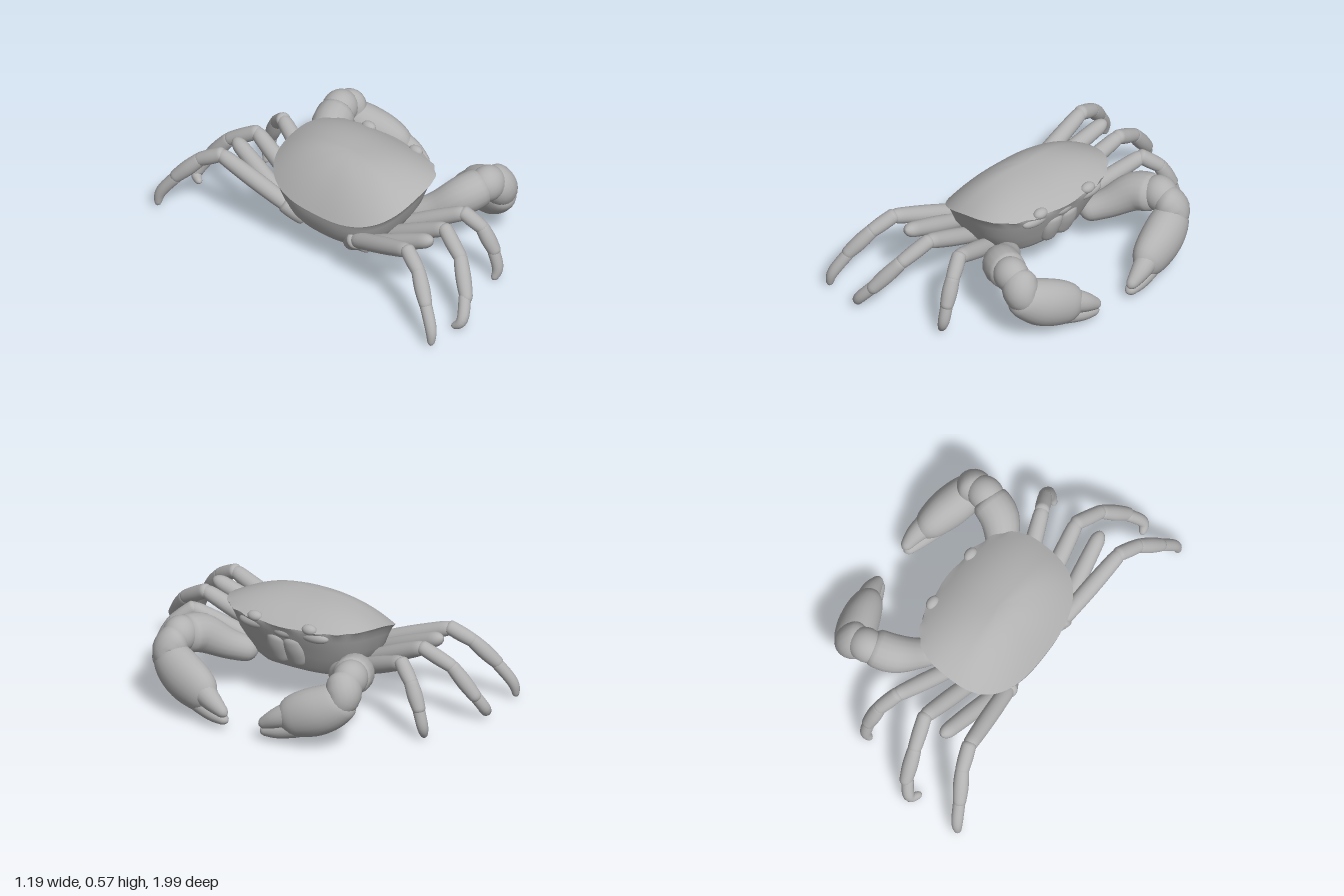
import * as THREE from 'three';

const shellGrey = new THREE.MeshStandardMaterial({ color: 0xb2b2b2, side: THREE.DoubleSide });
shellGrey.name = 'shellGrey';

function mesh(geometry, name) {
  const m = new THREE.Mesh(geometry, shellGrey);
  m.name = name;
  return m;
}

// Skin a list of closed rings, each holding the same number of points
function loft(rings) {
  const n = rings[0].length, pos = [], idx = [];
  rings.forEach(r => r.forEach(p => pos.push(p.x, p.y, p.z)));
  for (let i = 0; i < rings.length - 1; i++) {
    for (let j = 0; j < n; j++) {
      const a = i * n + j, b = i * n + (j + 1) % n;
      idx.push(a, b, a + n, b, b + n, a + n);
    }
  }
  const g = new THREE.BufferGeometry();
  g.setAttribute('position', new THREE.Float32BufferAttribute(pos, 3));
  g.setIndex(idx);
  g.computeVertexNormals();
  return g;
}

// Round-ended limb through points [x, y, z, halfWidth, halfHeight]
function limb(points, name, round = 0.12, steps = 20, sides = 18) {
  const path = new THREE.CatmullRomCurve3(
    points.map(p => new THREE.Vector3(p[0], p[1], p[2])), false, 'catmullrom');
  const size = new THREE.CatmullRomCurve3(
    points.map(p => new THREE.Vector3(p[3], p[4] ?? p[3], 0)), false, 'catmullrom');
  const rings = [];
  for (let i = 0; i <= steps; i++) {
    const u = (1 - Math.cos(Math.PI * i / steps)) / 2;
    const end = Math.min(1, Math.min(u, 1 - u) / round);
    const k = Math.sqrt(Math.max(0, 1 - (1 - end) ** 2));
    const c = path.getPoint(u), s = size.getPoint(u), t = path.getTangent(u);
    const side = new THREE.Vector3(1, 0, 0).addScaledVector(t, -t.x).normalize();
    const up = new THREE.Vector3().crossVectors(t, side);
    rings.push(Array.from({ length: sides }, (_, j) => {
      const a = j / sides * Math.PI * 2;
      return c.clone().addScaledVector(side, Math.cos(a) * s.x * k)
        .addScaledVector(up, Math.sin(a) * s.y * k);
    }));
  }
  return mesh(loft(rings), name);
}

function ball(x, y, z, rx, ry, rz, name) {
  const m = mesh(new THREE.SphereGeometry(1, 24, 16), name);
  m.position.set(x, y, z);
  m.scale.set(rx, ry, rz);
  return m;
}

// Rounded plan outline; height is chosen by a function of x
const rimY = x => 0.49 - 0.65 * (x - 0.08) ** 2;
const bellyY = x => 0.142 + 0.7 * Math.max(0, x + 0.2) ** 2;
function outline(x0, x1, half, yAt, scallop = 0) {
  const n = 112, pow = v => Math.sign(v) * Math.abs(v) ** (2 / 2.7);
  return Array.from({ length: n }, (_, i) => {
    const t = i / n * Math.PI * 2;
    const front = Math.max(0, Math.cos(t));
    const wave = scallop * Math.cos(t * 18) * Math.min(1, front * 1.6);
    const x = (x0 + x1) / 2 + (x1 - x0) / 2 * pow(Math.cos(t)) + wave;
    return new THREE.Vector3(x, yAt(x), half * pow(Math.sin(t)));
  });
}

function body() {
  const g = new THREE.Group();
  g.name = 'body';
  // Domed upper shell, steeper in front than behind, with a scalloped front rim
  const rim = outline(-0.43, 0.195, 0.44, rimY);
  const apex = new THREE.Vector3(-0.13, 0.57, 0);
  const rings = [outline(-0.43, 0.195, 0.44, rimY, 0.006)];
  for (let i = 1; i <= 20; i++) {
    const s = 1 - i / 20;
    rings.push(rim.map(p => {
      const q = apex.clone().lerp(p, s);
      const bulge = 2.5 - 0.5 * THREE.MathUtils.smoothstep(-p.x, 0.15, 0.4);
      q.y = apex.y - (apex.y - p.y) * s ** bulge;
      return q;
    }));
  }
  g.add(mesh(loft(rings), 'upperShell'));
  // Underside tapering to a flat belly: [rear, front, half width, height fraction]
  const levels = [
    [-0.43, 0.195, 0.44, 1], [-0.428, 0.19, 0.42, 0.92], [-0.425, 0.178, 0.4, 0.78],
    [-0.415, 0.155, 0.375, 0.55], [-0.4, 0.125, 0.335, 0.34], [-0.37, 0.1, 0.285, 0.13],
    [-0.335, 0.07, 0.235, 0.03], [-0.28, 0.03, 0.18, 0], [-0.131, -0.13, 0.001, 0],
  ];
  g.add(mesh(loft(levels.map(([a, b, h, f], i) =>
    outline(a, b, h, x => bellyY(x) + (rimY(x) - bellyY(x)) * f, i ? 0 : 0.006))), 'underside'));
  // Face: eyes, brow bumps and paired mouth plates
  for (const s of [1, -1]) {
    g.add(ball(0.17, 0.492, s * 0.165, 0.03, 0.028, 0.042, 'eye'));
    g.add(ball(0.15, 0.45, s * 0.18, 0.034, 0.035, 0.09, 'eyeSocket'));
    g.add(limb([[0.155, 0.42, s * 0.045, 0.025, 0.05], [0.135, 0.34, s * 0.052, 0.032, 0.058],
      [0.085, 0.23, s * 0.045, 0.035, 0.05]], 'mouthPlate', 0.2));
  }
  g.add(ball(0.155, 0.44, 0, 0.033, 0.035, 0.07, 'snout'));
  return g;
}

// Straight leg segment, swollen in the middle and running a little past each joint
function segment(a, b, r0, r1, r2, name) {
  const p = new THREE.Vector3(...a), q = new THREE.Vector3(...b);
  const d = q.clone().sub(p).normalize();
  const mid = p.clone().lerp(q, 0.5);
  p.addScaledVector(d, -r0 * 0.7);
  q.addScaledVector(d, r2 * 0.7);
  return limb([[...p, r0], [...mid, r1], [...q, r2]], name, 0.13);
}

// Joints run hip, knee, wrist, ankle, bend, tip; short legs stop at the knee
function leg(joints, name) {
  const g = new THREE.Group();
  g.name = name;
  const [hip, knee, wrist, ankle, bend, tip] = joints;
  const root = [hip[0] * 0.8 - 0.03, 0.187, 0.18];
  g.add(segment(root, hip, 0.05, 0.053, 0.047, 'hip'));
  g.add(segment(hip, knee, 0.042, 0.046, 0.039, 'upperLeg'));
  if (wrist) {
    g.add(segment(knee, wrist, 0.038, 0.04, 0.035, 'middleLeg'));
    g.add(segment(wrist, ankle, 0.035, 0.041, 0.032, 'lowerLeg'));
    const start = ankle.map((v, i) => v + (wrist[i] - v) * 0.2);
    g.add(limb([[...start, 0.033], [...bend, 0.03], [...tip, 0.016]], 'foot'));
  }
  return g;
}

function claw() {
  const g = new THREE.Group();
  g.name = 'clawArm';
  g.add(limb([[0.02, 0.21, 0.24, 0.06], [0.11, 0.26, 0.36, 0.08], [0.205, 0.335, 0.465, 0.103],
    [0.33, 0.365, 0.51, 0.1]], 'upperArm'));
  g.add(ball(0.335, 0.368, 0.518, 0.1, 0.097, 0.09, 'elbow'));
  g.add(limb([[0.35, 0.39, 0.48, 0.075, 0.065], [0.395, 0.35, 0.515, 0.095, 0.09],
    [0.425, 0.29, 0.525, 0.09, 0.09], [0.45, 0.22, 0.46, 0.06, 0.06]], 'wrist', 0.25));
  g.add(limb([[0.42, 0.31, 0.57, 0.06, 0.07], [0.432, 0.265, 0.51, 0.095, 0.108],
    [0.465, 0.215, 0.42, 0.106, 0.128], [0.497, 0.177, 0.32, 0.095, 0.122],
    [0.53, 0.125, 0.2, 0.062, 0.085]], 'palm', 0.16, 24, 24));
  g.add(limb([[0.5, 0.2, 0.32, 0.07, 0.075], [0.54, 0.145, 0.2, 0.052, 0.055],
    [0.555, 0.088, 0.1, 0.024, 0.024]], 'upperFinger'));
  g.add(limb([[0.49, 0.11, 0.32, 0.07, 0.06], [0.525, 0.073, 0.2, 0.052, 0.046],
    [0.545, 0.05, 0.1, 0.024, 0.022]], 'lowerFinger'));
  return g;
}

export function createModel() {
  const crab = new THREE.Group();
  crab.name = 'crab';
  crab.add(body());
  for (const s of [1, -1]) {
    const side = new THREE.Group();
    side.name = s > 0 ? 'nearLimbs' : 'farLimbs';
    side.scale.z = s;
    side.add(claw());
    side.add(leg([[-0.37, 0.24, 0.24], [-0.425, 0.39, 0.655], [-0.463, 0.33, 0.765],
      [-0.53, 0.2, 0.88], [-0.563, 0.1, 0.945], [-0.579, 0.012, 0.96]], 'rearLeg'));
    side.add(leg([[-0.335, 0.22, 0.28], [-0.283, 0.388, 0.673]], 'shortLeg'));
    // The far middle foot curls further inward, and the far front leg reaches further out
    const foot = s > 0
      ? [[-0.28, 0.14, 0.935], [-0.345, 0.06, 0.965], [-0.375, 0.01, 0.92]]
      : [[-0.225, 0.14, 0.935], [-0.27, 0.06, 0.965], [-0.31, 0.036, 0.91]];
    side.add(leg([[-0.2, 0.21, 0.28], [-0.145, 0.388, 0.66], [-0.19, 0.3, 0.81], ...foot], 'middleLeg'));
    const out = s > 0 ? 0 : 0.03;
    side.add(leg([[-0.08, 0.21, 0.28], [0.045, 0.375, 0.62 + out], [0.09, 0.3, 0.705 + out],
      [0.115, 0.17, 0.77 + out], [0.115, 0.08, 0.79 + out], [0.088, 0.01, 0.785 + out]], 'frontLeg'));
    crab.add(side);
  }
  return crab;
}
